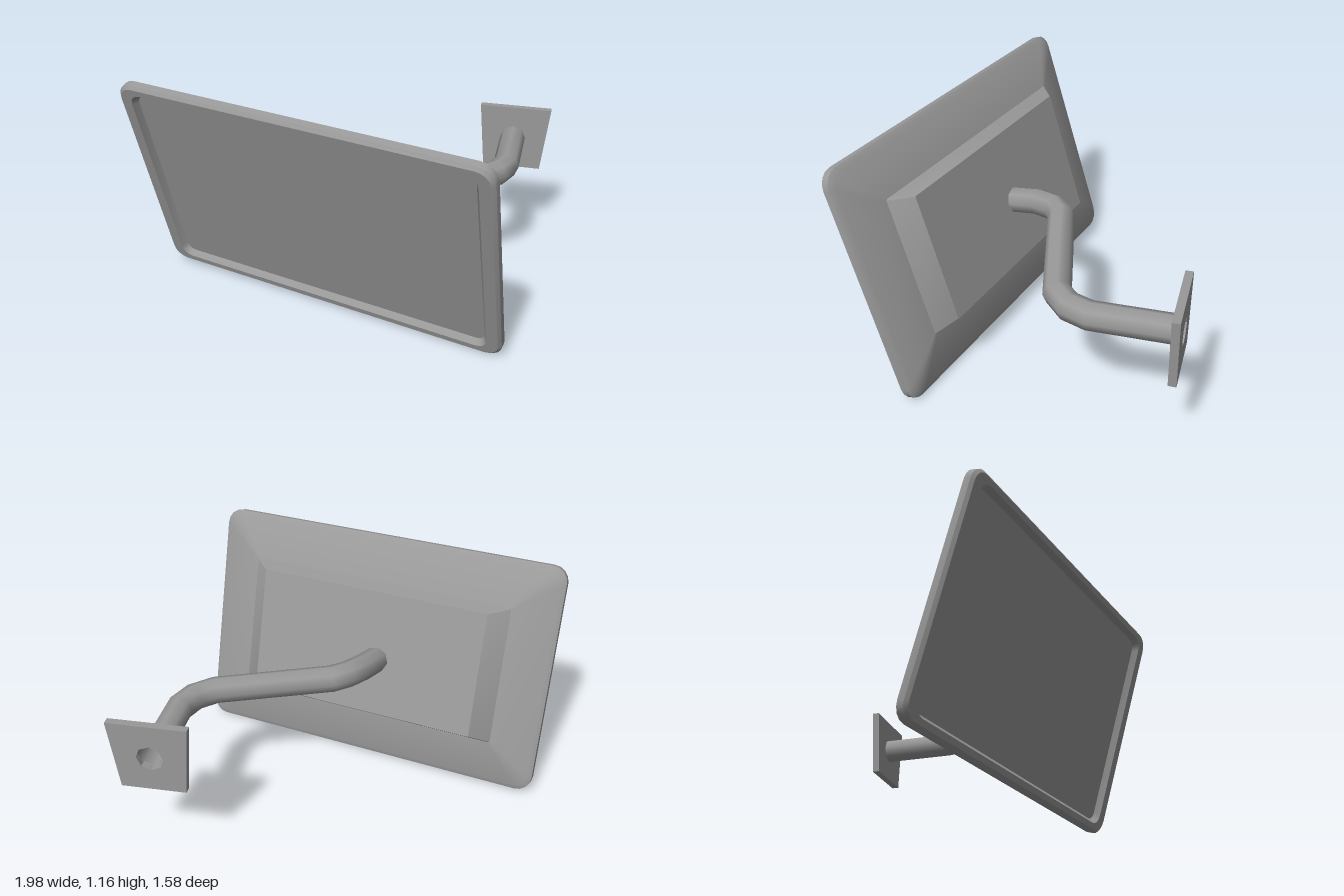
import * as THREE from 'three';
import { toCreasedNormals } from 'three/addons/utils/BufferGeometryUtils.js';

const grey = new THREE.MeshStandardMaterial({ color: 0x999999, side: THREE.DoubleSide });
grey.name = 'grey';

function part(name, geometry) {
  const mesh = new THREE.Mesh(geometry, grey);
  mesh.name = name;
  return mesh;
}

// Rounded rectangle as a counter-clockwise ring of points
function ring(w, h, r, steps = 4) {
  const points = [];
  [[1, 1], [-1, 1], [-1, -1], [1, -1]].forEach(([sx, sy], corner) => {
    for (let i = 0; i <= steps; i++) {
      const a = (corner + i / steps) * Math.PI / 2;
      points.push(new THREE.Vector2(
        sx * (w / 2 - r) + r * Math.cos(a), sy * (h / 2 - r) + r * Math.sin(a)));
    }
  });
  return points;
}

// Skin through rounded rectangles [width, height, radius, z], front to back, closed at the back
function loft(sections) {
  const position = [], index = [];
  const rings = sections.map(([w, h, r]) => ring(w, h, r));
  const n = rings[0].length;
  rings.forEach((points, k) => points.forEach(p => position.push(p.x, p.y, sections[k][3])));
  for (let k = 0; k < rings.length - 1; k++) {
    for (let i = 0; i < n; i++) {
      const a = k * n + i, b = k * n + (i + 1) % n;
      index.push(a, a + n, b + n, a, b + n, b);
    }
  }
  const back = position.length / 3, last = (rings.length - 1) * n;
  position.push(0, 0, sections[sections.length - 1][3]);
  for (let i = 0; i < n; i++) index.push(last + i, back, last + (i + 1) % n);
  const g = new THREE.BufferGeometry();
  g.setAttribute('position', new THREE.Float32BufferAttribute(position, 3));
  g.setIndex(index);
  return toCreasedNormals(g, 0.5);
}

// Path that bends exactly at its points
class BentPath extends THREE.Curve {
  constructor(points) {
    super();
    this.points = points;
  }
  getPoint(t, target = new THREE.Vector3()) {
    const s = t * (this.points.length - 1);
    const i = Math.min(Math.floor(s + 1e-6), this.points.length - 2);
    return target.lerpVectors(this.points[i], this.points[i + 1], s - i);
  }
  getPointAt(t, target) {
    return this.getPoint(t, target);
  }
  getTangentAt(t, target = new THREE.Vector3()) {
    const p = this.points, i = Math.round(t * (p.length - 1));
    const before = p[Math.max(i - 1, 0)], after = p[Math.min(i + 1, p.length - 1)];
    const a = p[i].clone().sub(before).normalize(), b = after.clone().sub(p[i]).normalize();
    return target.copy(a).add(b).normalize();
  }
}

export function createModel() {
  const model = new THREE.Group();
  model.name = 'wallMountedScreen';

  // Display, turned aside and tipped downwards
  const display = new THREE.Group();
  display.name = 'display';
  display.position.set(-0.04, 0.575, 0.39);
  display.rotation.set(0.303, -0.253, -0.012, 'YXZ');
  display.add(part('housing', loft([
    [1.71, 1.05, 0.045, -0.03],
    [1.75, 1.09, 0.06, 0],
    [1.86, 1.15, 0.07, 0],
    [1.89, 1.18, 0.08, -0.015],
    [1.89, 1.18, 0.08, -0.05],
    [1.84, 1.13, 0.07, -0.066],
    [1.42, 0.71, 0.01, -0.11],
    [1.23, 0.645, 0.005, -0.194],
  ])));
  const screen = part('screen', new THREE.ShapeGeometry(new THREE.Shape(ring(1.71, 1.05, 0.045))));
  screen.position.z = -0.03;
  display.add(screen);
  model.add(display);

  // Bent tubular arm from the wall plate to the back of the display
  const path = new BentPath([
    [0.805, 0.6, -0.785], [0.805, 0.6, -0.4], [0.765, 0.6, -0.3], [0.68, 0.6, -0.225],
    [0.12, 0.65, -0.1], [0.05, 0.652, -0.05], [-0.01, 0.637, 0.05], [-0.06, 0.6, 0.2],
  ].map(p => new THREE.Vector3(...p)));
  model.add(part('arm', new THREE.TubeGeometry(path, path.points.length - 1, 0.067, 8)));

  // Tapered wall plate with an eight-sided hole behind the arm
  const outline = new THREE.Shape([[-0.155, -0.175], [0.155, -0.175], [0.19, 0.175], [-0.19, 0.175]]
    .map(p => new THREE.Vector2(...p)));
  const hole = [];
  for (let i = 0; i < 8; i++) {
    const a = -i * Math.PI / 4;
    hole.push(new THREE.Vector2(0.064 * Math.cos(a), 0.064 * Math.sin(a)));
  }
  outline.holes.push(new THREE.Path(hole));
  const plate = part('wallPlate', new THREE.ExtrudeGeometry(outline, { depth: 0.037, bevelEnabled: false }));
  plate.position.set(0.81, 0.6, -0.808);
  model.add(plate);

  return model;
}
